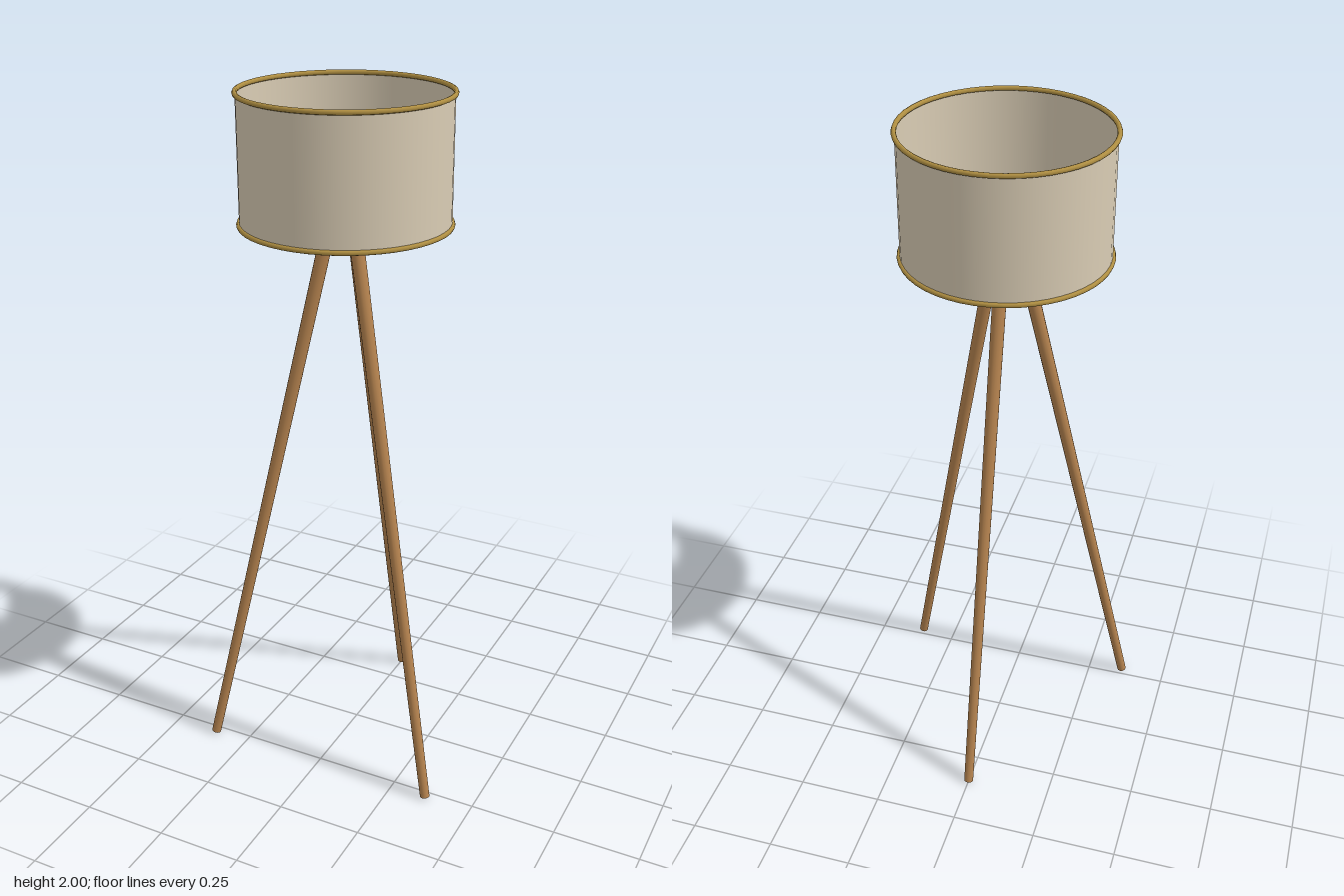
import * as THREE from 'three';

const material = (name, color, side = THREE.FrontSide) => {
  const m = new THREE.MeshStandardMaterial({ color, side });
  m.name = name;
  return m;
};

export function createModel() {
  const wood = material('wood', 0xb5834f);
  const brass = material('brass', 0xb08f42);
  const linen = material('linen', 0xd9ccb4, THREE.DoubleSide);
  const glass = material('bulb glass', 0xe8decb, THREE.DoubleSide);

  const lamp = new THREE.Group();
  lamp.name = 'tripodFloorLamp';
  const add = (name, geometry, mat, y = 0) => {
    const mesh = new THREE.Mesh(geometry, mat);
    mesh.name = name;
    mesh.position.y = y;
    lamp.add(mesh);
    return mesh;
  };

  // Three splayed, tapered legs; one points straight back
  const up = new THREE.Vector3(0, 1, 0);
  for (let i = 0; i < 3; i++) {
    const a = Math.PI + (i * Math.PI * 2) / 3;
    const at = (r, y) => new THREE.Vector3(Math.sin(a) * r, y, Math.cos(a) * r);
    const foot = at(0.415, 0.004);
    const top = at(0.038, 1.665);
    const axis = top.clone().sub(foot);
    const leg = add('leg' + (i + 1), new THREE.CylinderGeometry(0.02, 0.014, axis.length(), 16), wood);
    leg.position.copy(foot).add(top).multiplyScalar(0.5);
    leg.quaternion.setFromUnitVectors(up, axis.normalize());
  }

  // Hub, stem and socket
  add('hub', new THREE.SphereGeometry(0.05, 20, 14), brass, 1.665);
  add('stem', new THREE.CylinderGeometry(0.025, 0.025, 0.11, 20), brass, 1.745);
  add('socketCollar', new THREE.CylinderGeometry(0.046, 0.046, 0.012, 20), brass, 1.803);

  // Bulb dome sitting on the collar
  add('bulb', new THREE.SphereGeometry(0.048, 14, 8, 0, Math.PI * 2, 0, Math.PI / 2), glass, 1.809);

  // Open drum shade with a brass ring at each edge
  add('shade', new THREE.CylinderGeometry(0.286, 0.286, 0.348, 48, 1, true), linen, 1.819);
  for (const [name, y] of [['lowerRing', 1.645], ['upperRing', 1.993]]) {
    add(name, new THREE.TorusGeometry(0.287, 0.007, 8, 48).rotateX(Math.PI / 2), brass, y);
  }

  // Balance the uneven front and back reach of the legs and shade
  lamp.position.z = 0.066;
  const model = new THREE.Group();
  model.name = 'floorLamp';
  model.add(lamp);
  return model;
}
